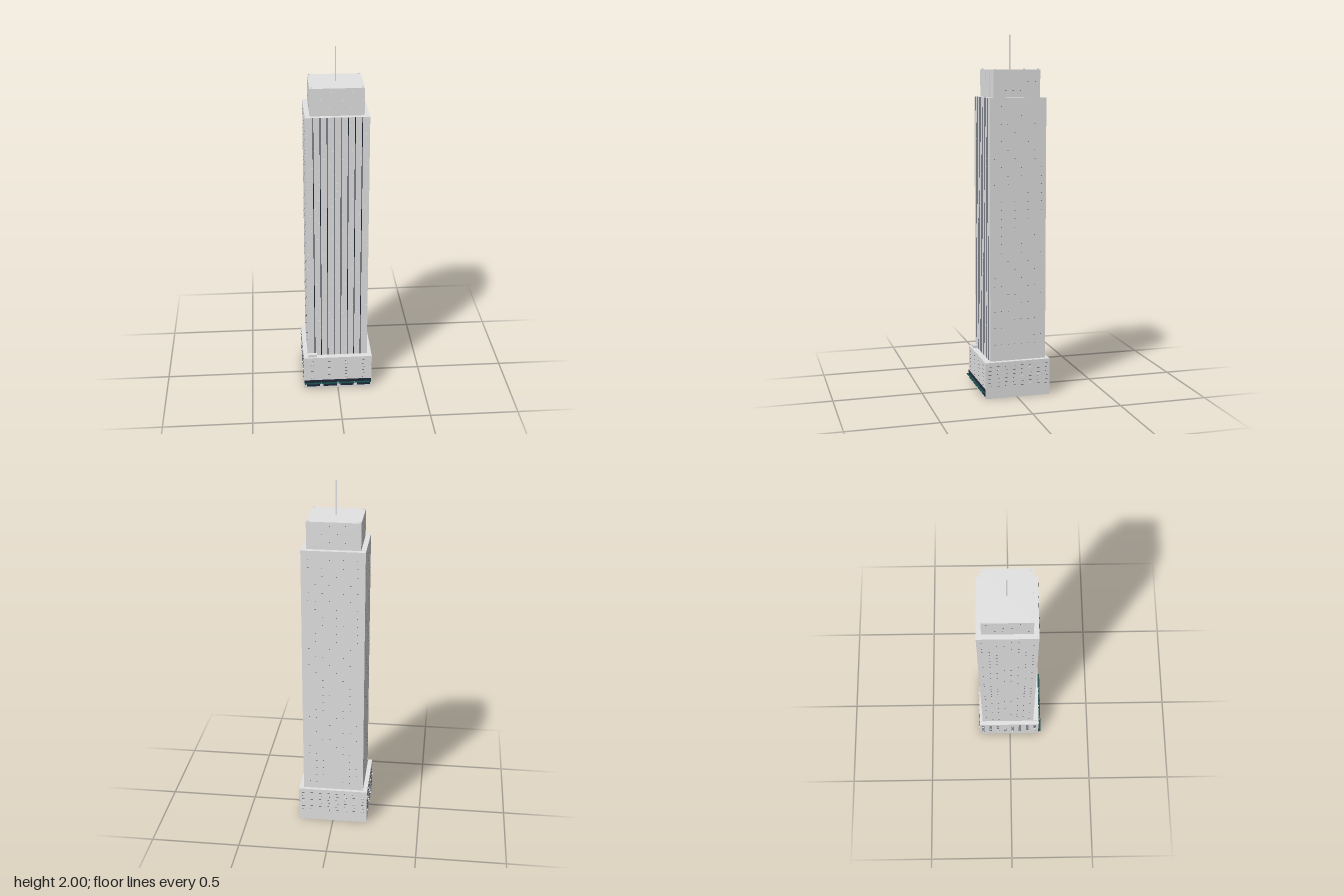
import * as THREE from 'three';
import { mergeGeometries } from 'three/addons/utils/BufferGeometryUtils.js';

const mat = (name, color, side = THREE.FrontSide) => {
  const m = new THREE.MeshStandardMaterial({ color, side });
  m.name = name;
  return m;
};

// box given by its min and max corners
const box = (x0, x1, y0, y1, z0, z1) =>
  new THREE.BoxGeometry(x1 - x0, y1 - y0, z1 - z0)
    .translate((x0 + x1) / 2, (y0 + y1) / 2, (z0 + z1) / 2);

// box on a wall: u along the wall, y up, d outward, with a hairline gap behind
const wallBox = (side, plane, u, y, w, h, d) => {
  const g = new THREE.BoxGeometry(w, h, d);
  const out = d / 2 + 0.0004;
  if (side === 'front') return g.translate(u, y, plane + out);
  if (side === 'back') return g.translate(u, y, plane - out);
  g.rotateY(Math.PI / 2);
  return g.translate(side === 'left' ? plane + out : plane - out, y, u);
};

export function createModel() {
  const stone = mat('stone', 0xe3e3e3, THREE.DoubleSide);
  const dark = mat('dark trim', 0x20283a);
  const teal = mat('awning teal', 0x164c48);
  const model = new THREE.Group();
  model.name = 'skyscraper';
  const add = (name, geos, material) => {
    const mesh = new THREE.Mesh(Array.isArray(geos) ? mergeGeometries(geos) : geos, material);
    mesh.name = name;
    model.add(mesh);
  };

  // podium: hollow shell, open underneath
  const P = { x: 0.198, back: -0.191, front: 0.18, top: 0.205 };
  const podium = box(-P.x, P.x, 0, P.top, P.back, P.front);
  const index = Array.from(podium.index.array);
  index.splice(18, 6); // remove the floor
  podium.setIndex(index);
  add('podium', podium, stone);

  // tower shaft, crown and roof pieces
  add('towerShaft', box(-0.173, 0.172, P.top, 1.66, -0.172, 0.146), stone);
  add('crown', box(-0.146, 0.145, 1.66, 1.81, -0.145, 0.118), stone);
  add('terraceBox', box(-0.173, -0.12, P.top, 0.22, 0.146, 0.17), stone);
  const posts = [];
  for (const x of [-0.135, 0.135]) for (const z of [-0.136, 0.108])
    posts.push(box(x - 0.004, x + 0.004, 1.81, 1.815, z - 0.004, z + 0.004));
  add('roofPosts', posts, stone);
  add('antenna', box(-0.003, 0.003, 1.81, 2, -0.017, -0.011), stone);

  // dark vertical strips on the front of the shaft, slim stone ribs on the crown
  const strips = [], ribs = [];
  for (let i = 0; i < 8; i++) {
    const x = -0.131 + i * 0.0375;
    strips.push(wallBox('front', 0.146, x, 0.9325, 0.004, 1.455, 0.0016));
    if (i > 0 && i < 7) ribs.push(wallBox('front', 0.118, x, 1.735, 0.002, 0.15, 0.0006));
  }
  add('frontStrips', strips, dark);
  add('crownRibs', ribs, stone);

  // hairline floor bands on the front, tiny window sills on the other tower walls
  const bands = [], sills = [];
  const addSills = (walls, y, count, gap) => {
    for (const [side, plane, mid] of walls)
      for (let i = 0; i < count; i++)
        sills.push(wallBox(side, plane, mid + (i - (count - 1) / 2) * gap, y, 0.006, 0.0006, 0.0008));
  };
  const shaftWalls = [['left', 0.172, -0.013], ['right', -0.173, -0.013], ['back', -0.172, 0]];
  const crownWalls = [['left', 0.145, -0.013], ['right', -0.146, -0.013], ['back', -0.145, 0]];
  for (let f = 0; f < 30; f++) {
    const y = 0.25 + f * 0.047;
    bands.push(wallBox('front', 0.146, 0, y, 0.335, 0.0006, 0.0005));
    addSills(shaftWalls, y, 8, 0.038);
  }
  for (const y of [1.7, 1.745, 1.79]) {
    bands.push(wallBox('front', 0.118, 0, y, 0.28, 0.0006, 0.0005));
    addSills(crownWalls, y, 6, 0.042);
  }
  add('floorBands', bands, stone);
  add('towerSills', sills, dark);

  // podium windows: dark lintel and sill, with air conditioners under some
  const frames = [], coolers = [];
  const row8 = (start, gap) => [...Array(8)].map((_, i) => start + i * gap);
  const sides = [
    ['front', P.front, [-0.15, -0.05, 0.048, 0.148], [0, 1, 2]],
    ['back', P.back, row8(-0.173, 0.0495), [0, 1, 2, 3, 4, 7]],
    ['left', P.x, row8(-0.17, 0.0465), [1, 2, 3, 5, 6]],
    ['right', -P.x, row8(-0.17, 0.0465), [0, 1, 2, 3, 4, 7]],
  ];
  for (const [side, plane, columns, cooled] of sides)
    columns.forEach((u, i) => {
      [0.08, 0.125, 0.17].forEach((y, row) => {
        for (const dy of [-0.011, 0.011])
          frames.push(wallBox(side, plane, u, y + dy, 0.015, 0.001, 0.002));
        if (cooled.includes(i) && (i + row) % 2 === 0)
          coolers.push(wallBox(side, plane, u, y - 0.006, 0.008, 0.006, 0.007));
      });
    });
  add('podiumWindowFrames', frames, dark);
  add('airConditioners', coolers, stone);

  // street level: dark fascia, four shopfronts and flat thin awnings
  add('shopFascia', wallBox('front', P.front, -0.001, 0.046, 0.392, 0.017, 0.002), dark);
  const glass = [], awnings = [];
  for (let i = 0; i < 4; i++) {
    const x = -0.148 + i * 0.0987;
    glass.push(wallBox('front', P.front, x + 0.004, 0.0245, 0.078, 0.026, 0.001));
    awnings.push(box(x - 0.047, x + 0.047, 0.0355, 0.0365, P.front + 0.0004, 0.197));
  }
  add('shopWindows', glass, dark);
  add('awnings', awnings, teal);

  return model;
}
